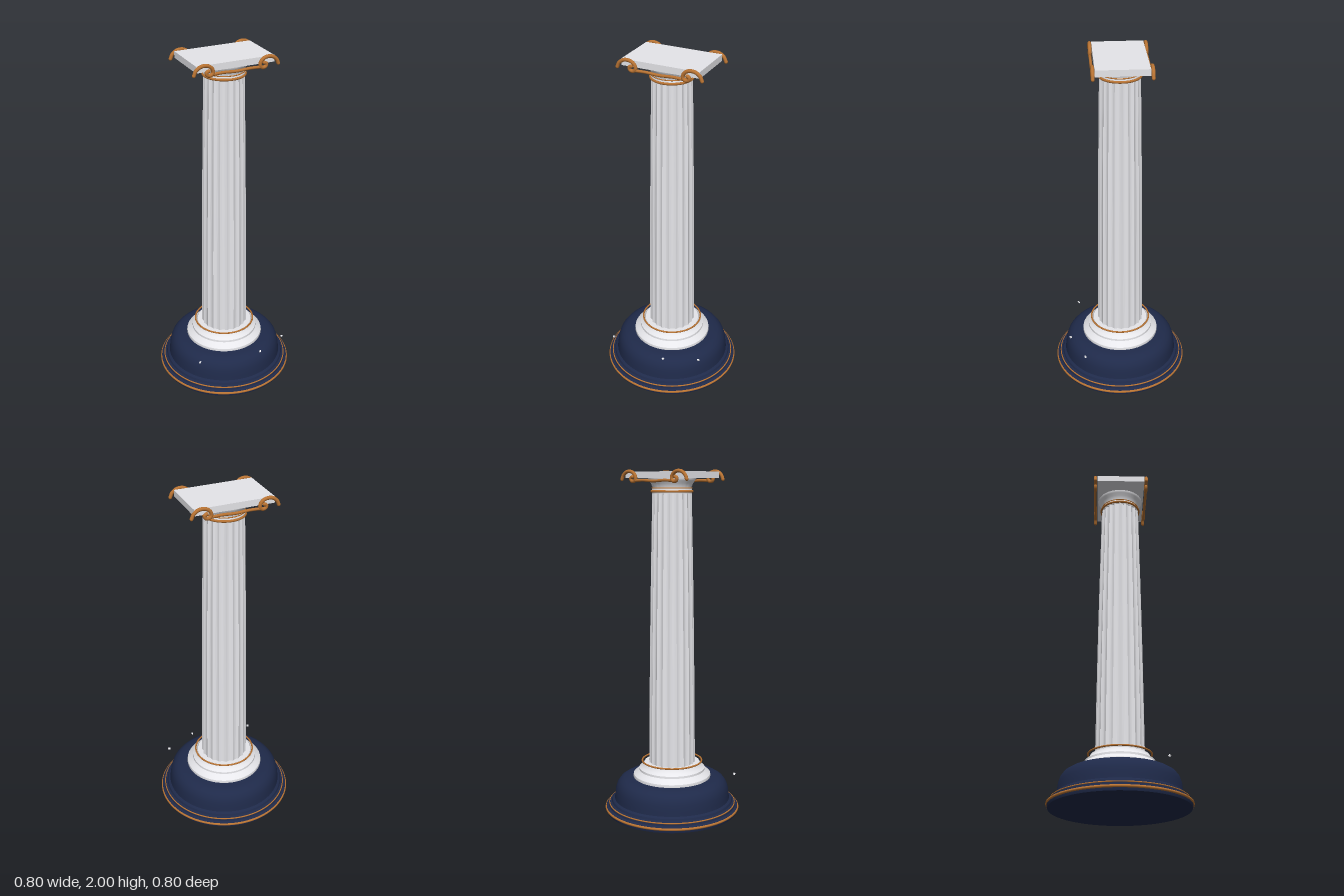
import * as THREE from 'three';
import { toCreasedNormals } from 'three/addons/utils/BufferGeometryUtils.js';

const mat = (color) => new THREE.MeshStandardMaterial({ color });
const marble = mat(0xe6e6ea);
const navy = mat(0x1f2a4a);
const bronze = mat(0xb87333);

function add(parent, name, geometry, material) {
  const mesh = new THREE.Mesh(geometry, material);
  mesh.name = name;
  parent.add(mesh);
  return mesh;
}

// Turned part from [radius, height] pairs, bottom to top
function turned(profile) {
  const points = profile.map(([r, y]) => new THREE.Vector2(r, y));
  return toCreasedNormals(new THREE.LatheGeometry(points, 96), 0.6);
}

function ring(parent, name, radius, y, tube) {
  const mesh = add(parent, name, new THREE.TorusGeometry(radius, tube, 10, 96), bronze);
  mesh.rotation.x = Math.PI / 2;
  mesh.position.y = y;
}

// Tapered shaft with slight swelling and concave flutes
function flutedShaft(bottom, top, r0, r1, flutes, depth) {
  const height = top - bottom;
  const geometry = new THREE.CylinderGeometry(1, 1, height, flutes * 8, 16, true);
  const pos = geometry.attributes.position;
  for (let i = 0; i < pos.count; i++) {
    const x = pos.getX(i), z = pos.getZ(i);
    const t = pos.getY(i) / height + 0.5;
    const angle = Math.atan2(x, z);
    const r = r0 + (r1 - r0) * t + 0.003 * Math.sin(Math.PI * t)
      - depth * Math.abs(Math.sin(angle * flutes / 2));
    pos.setXYZ(i, x * r, pos.getY(i) + (bottom + top) / 2, z * r);
  }
  return toCreasedNormals(geometry, 0.5);
}

function curve(points) {
  return new THREE.CatmullRomCurve3(points.map(([x, y]) => new THREE.Vector3(x, y, 0)));
}

// One bronze scroll rail: a low bar joining two mirrored volutes
function scrollRail(z) {
  const rail = new THREE.Group();
  rail.name = 'scrollRail';
  rail.position.z = z;
  const bar = curve([[-0.15, 1.937], [-0.08, 1.94], [0, 1.936], [0.08, 1.94], [0.15, 1.937]]);
  add(rail, 'railBar', new THREE.TubeGeometry(bar, 32, 0.008, 10), bronze);
  for (const s of [-1, 1]) {
    const path = [[0.243, 1.945], [0.232, 1.968], [0.21, 1.985], [0.185, 1.99], [0.158, 1.984],
      [0.139, 1.966], [0.136, 1.946], [0.15, 1.934], [0.168, 1.938], [0.172, 1.952], [0.16, 1.959]];
    const volute = curve(path.map(([x, y]) => [s * x, y]));
    add(rail, 'volute', new THREE.TubeGeometry(volute, 64, 0.01, 10), bronze);
    for (const [x, y] of [path[0], path[path.length - 1]]) {
      add(rail, 'voluteTip', new THREE.SphereGeometry(0.01, 12, 8), bronze).position.set(s * x, y, 0);
    }
  }
  return rail;
}

export function createModel() {
  const model = new THREE.Group();
  model.name = 'column';

  // Stepped plinth with a rounded shoulder
  add(model, 'plinth', turned([
    [0, 0], [0.388, 0], [0.392, 0.012], [0.392, 0.03], [0.378, 0.036], [0.374, 0.052],
    [0.36, 0.058], [0.355, 0.07], [0.342, 0.078], [0.339, 0.1], [0.335, 0.135],
    [0.325, 0.165], [0.308, 0.188], [0.285, 0.202], [0.255, 0.208], [0, 0.208],
  ]), navy);
  ring(model, 'plinthLowerTrim', 0.391, 0.022, 0.008);
  ring(model, 'plinthUpperTrim', 0.373, 0.05, 0.004);

  // Moulded foot of the column
  add(model, 'columnFoot', turned([
    [0.228, 0.2], [0.23, 0.212], [0.228, 0.224], [0.215, 0.235], [0.203, 0.243],
    [0.195, 0.25], [0.194, 0.262], [0.18, 0.272], [0.168, 0.285], [0.163, 0.296], [0, 0.296],
  ]), marble);
  ring(model, 'footRing', 0.176, 0.303, 0.005);

  add(model, 'shaft', flutedShaft(0.28, 1.885, 0.137, 0.112, 20, 0.008), marble);

  // Flared capital under the slab
  add(model, 'capital', turned([
    [0, 1.868], [0.112, 1.868], [0.114, 1.89], [0.11, 1.9], [0.112, 1.908], [0.119, 1.924],
    [0.129, 1.938], [0.134, 1.948], [0.134, 1.956], [0, 1.956],
  ]), marble);
  ring(model, 'neckRing', 0.115, 1.879, 0.007);
  ring(model, 'neckBead', 0.112, 1.897, 0.003);

  add(model, 'topSlab', new THREE.BoxGeometry(0.45, 0.036, 0.286), marble).position.y = 1.97;
  for (const s of [-1, 1]) model.add(scrollRail(s * 0.154));

  // Loose marble chips around the plinth
  for (const [x, y, z, turn] of [[-0.276, 0.214, 0.25, 0.6], [0.092, 0.217, 0.31, 1.1], [0.284, 0.214, 0.227, 0]]) {
    const chip = add(model, 'marbleChip', new THREE.BoxGeometry(0.012, 0.012, 0.008), marble);
    chip.position.set(x, y, z);
    chip.rotation.set(0.5, turn, 0.2);
  }
  return model;
}
